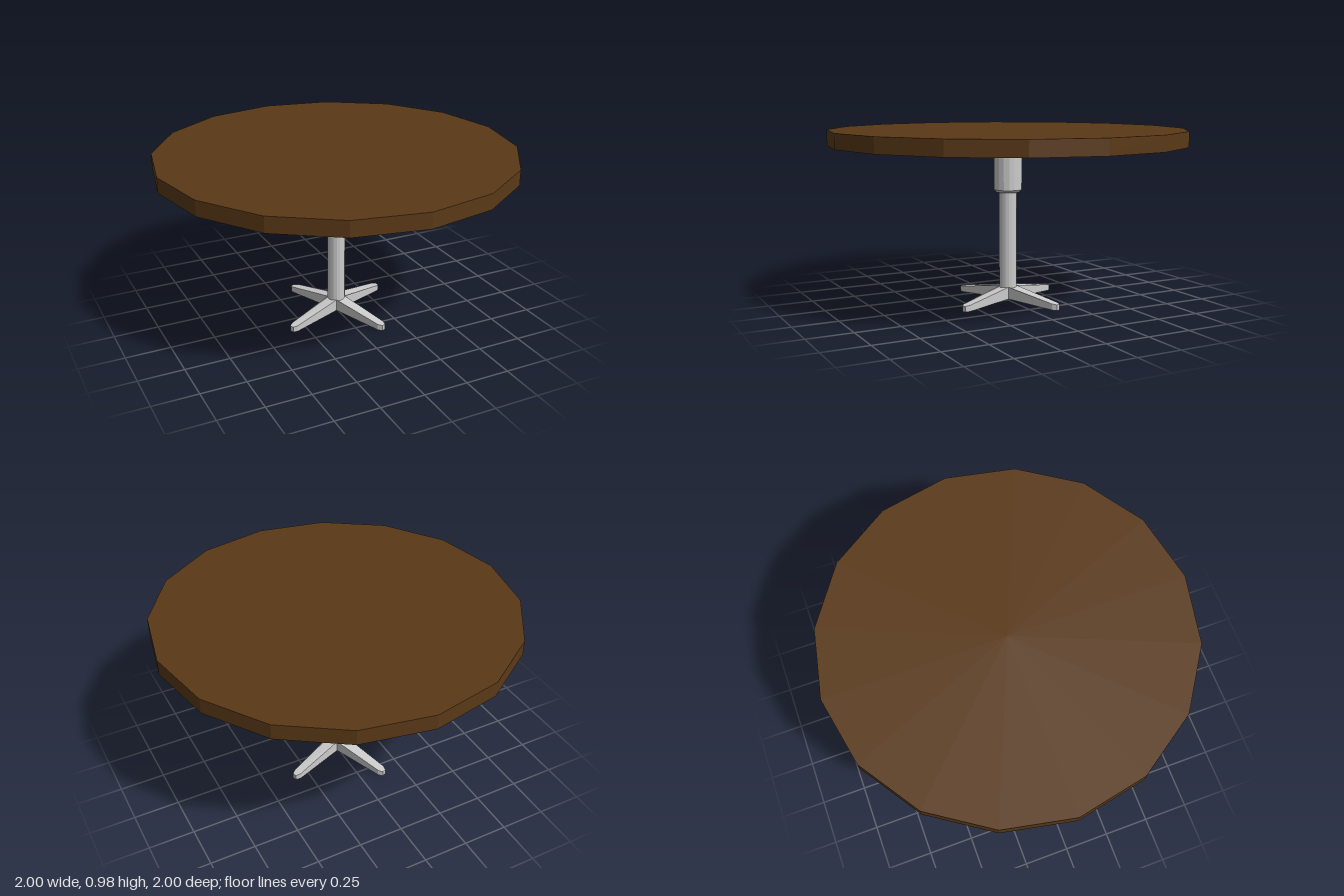
import * as THREE from 'three';

const SIDES = 16;

export function createModel() {
  const group = new THREE.Group();
  const metal = new THREE.MeshStandardMaterial({ color: 0xcccccc, flatShading: true });
  const wood = new THREE.MeshStandardMaterial({ color: 0x5a3917, flatShading: true });

  // Upright faceted cylinder between two heights
  function drum(name, rBottom, rTop, y0, y1, material) {
    const mesh = new THREE.Mesh(new THREE.CylinderGeometry(rTop, rBottom, y1 - y0, SIDES), material);
    mesh.position.y = (y0 + y1) / 2;
    mesh.name = name;
    group.add(mesh);
  }

  drum('tableTop', 1, 1, 0.9, 0.985, wood);
  drum('mountingPlate', 0.11, 0.11, 0.85, 0.9, metal);
  drum('sleeve', 0.08, 0.08, 0.645, 0.85, metal);
  drum('sleeveChamfer', 0.065, 0.08, 0.63, 0.645, metal);
  drum('column', 0.05, 0.05, 0.024, 0.63, metal);

  // Tapered foot: plan outline with a chamfered tip, sloping down outwards
  const outline = [[0, -0.035], [0.04, -0.035], [0.34, -0.024], [0.365, -0.012],
    [0.365, 0.012], [0.34, 0.024], [0.04, 0.035], [0, 0.035]];
  const shape = new THREE.Shape(outline.map(([x, y]) => new THREE.Vector2(x, y)));
  const footGeometry = new THREE.ExtrudeGeometry(shape, { depth: 1, bevelEnabled: false });
  footGeometry.rotateX(-Math.PI / 2);
  const p = footGeometry.attributes.position;
  for (let i = 0; i < p.count; i++) {
    const t = Math.max(0, (p.getX(i) - 0.04) / 0.325);
    const bottom = THREE.MathUtils.lerp(0.022, 0.005, t);
    const top = THREE.MathUtils.lerp(0.09, 0.037, t);
    p.setY(i, p.getY(i) > 0.5 ? top : bottom);
  }
  footGeometry.computeVertexNormals();

  // Four feet in a cross, turned slightly from the axes
  const base = new THREE.Group();
  base.name = 'base';
  for (let i = 0; i < 4; i++) {
    const foot = new THREE.Mesh(footGeometry, metal);
    foot.name = 'foot' + (i + 1);
    foot.rotation.y = THREE.MathUtils.degToRad(21) + i * Math.PI / 2;
    base.add(foot);
  }
  group.add(base);
  return group;
}
